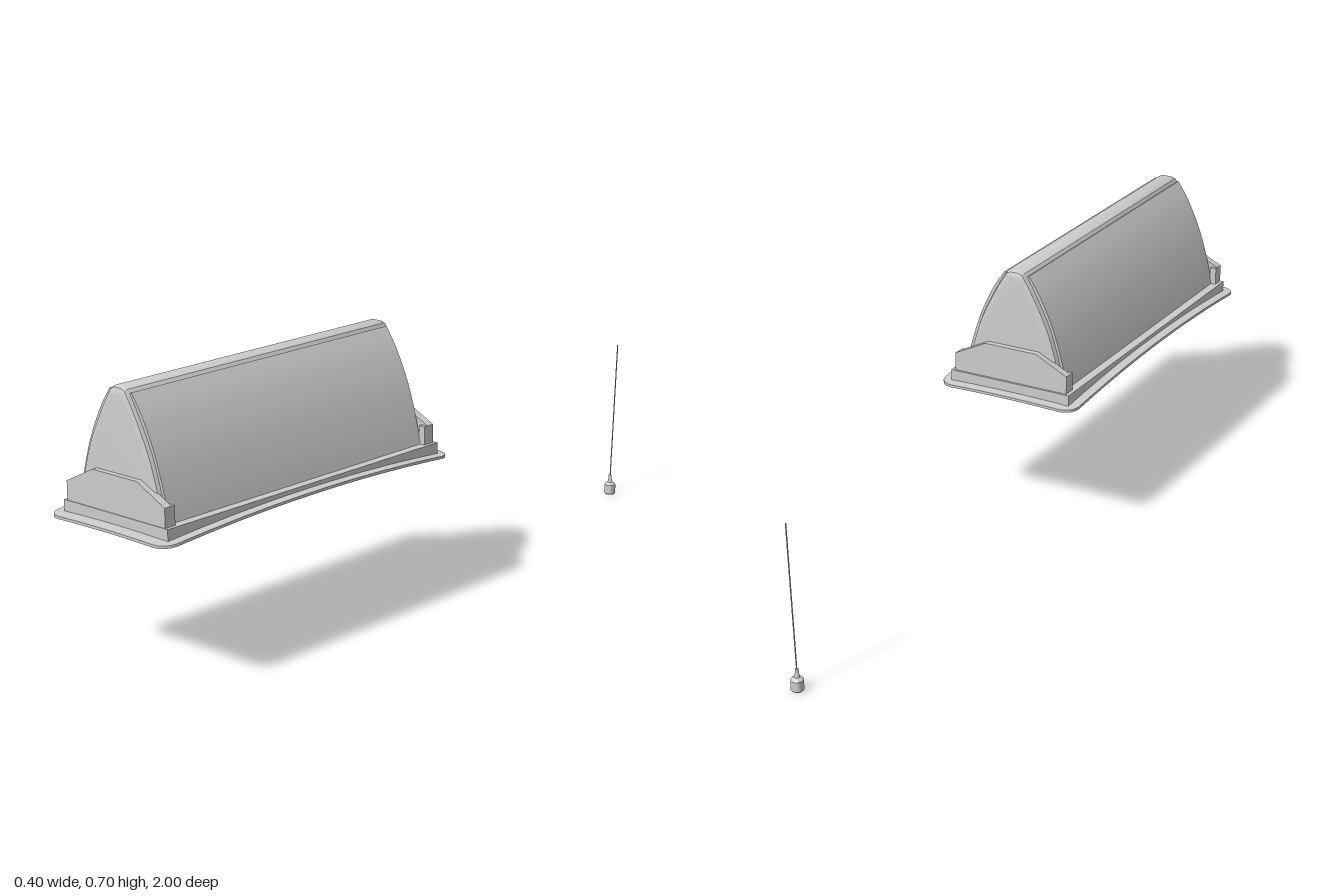
import * as THREE from 'three';
import { toCreasedNormals } from 'three/addons/utils/BufferGeometryUtils.js';

const MID = 0.4975; // centre of the roof sign along z
const HALF = 0.5025;

const v2 = ([x, y]) => new THREE.Vector2(x, y);
const curve = (pts, n) => new THREE.SplineCurve(pts.map(v2)).getPoints(n);
const mirrorPts = (pts) => pts.map((p) => new THREE.Vector2(-p.x, p.y)).reverse();

// Underside height of the arched mat
const matY = (x, z) => 0.391 - 0.021 * ((z - MID) / HALF) ** 2 - 0.004 * (x / 0.2) ** 2;

export function createModel() {
  const group = new THREE.Group();
  const material = new THREE.MeshStandardMaterial({ color: 0xcccccc });

  const add = (name, geometry) => {
    const mesh = new THREE.Mesh(geometry, material);
    mesh.name = name;
    group.add(mesh);
    return mesh;
  };
  const extrude = (points, z0, z1, bevel = 0) => {
    const g = new THREE.ExtrudeGeometry(new THREE.Shape(points), {
      depth: z1 - z0 - 2 * bevel,
      bevelEnabled: bevel > 0,
      bevelSize: bevel,
      bevelThickness: bevel,
      bevelOffset: -bevel,
      bevelSegments: 2,
    });
    g.translate(0, 0, z0 + bevel);
    return toCreasedNormals(g, 0.42);
  };
  const moveVertices = (g, rule) => {
    const p = g.attributes.position;
    const v = new THREE.Vector3();
    for (let i = 0; i < p.count; i++) {
      rule(v.fromBufferAttribute(p, i));
      p.setXYZ(i, v.x, v.y, v.z);
    }
    return toCreasedNormals(g, 0.5);
  };

  // Thin mat with rounded corners, arched along its length
  add('baseMat', moveVertices(new THREE.BoxGeometry(2, 1, 2, 8, 1, 32), (v) => {
    const t = Math.sin((v.z * Math.PI) / 2);
    const into = Math.max(0, 0.04 - HALF * (1 - Math.abs(t)));
    const width = 0.2 - 0.04 + Math.sqrt(Math.max(0, 0.04 ** 2 - into ** 2));
    const top = v.y > 0;
    v.z = MID + t * HALF;
    v.x *= width;
    v.y = matY(v.x, v.z) + (top ? 0.007 : 0);
  }));

  // Plinth with a level top and an underside that follows the mat
  add('plinth', moveVertices(new THREE.BoxGeometry(0.35, 1, 0.945, 4, 1, 24), (v) => {
    v.z += 0.4945;
    v.y = v.y > 0 ? 0.405 : matY(v.x, v.z) + 0.003;
  }));

  // Arched housing with softened ends
  const half = [
    ...curve([[0.145, 0.398], [0.127, 0.475], [0.1, 0.56], [0.06, 0.642], [0.034, 0.686]], 12),
    ...[[0.025, 0.7], [0.012, 0.705]].map(v2),
  ];
  add('housing', extrude([...half, ...mirrorPts(half)], 0.045, 0.95, 0.014));

  // Raised curved panels on both flanks
  const outer = curve([[0.152, 0.4], [0.136, 0.47], [0.108, 0.56], [0.07, 0.642], [0.036, 0.694]], 12);
  const inner = curve([[0.024, 0.688], [0.055, 0.63], [0.095, 0.55], [0.122, 0.47], [0.138, 0.4]], 12);
  const panel = [...outer, ...inner];
  add('leftPanel', extrude(panel, 0.06, 0.937));
  add('rightPanel', extrude(mirrorPts(panel), 0.06, 0.937));

  // End brackets: shaped plate plus a short return at each side
  const plate = [[-0.165, 0.4], [0.165, 0.4], [0.165, 0.453], [0.075, 0.498], [-0.075, 0.498], [-0.165, 0.453]].map(v2);
  for (const [name, z0, z1, tabZ] of [['front', 0.943, 0.965, 0.949], ['back', 0.028, 0.05, 0.046]]) {
    add(name + 'Bracket', extrude(plate, z0, z1));
    for (const s of [-1, 1]) {
      const tab = add(name + (s > 0 ? 'Left' : 'Right') + 'BracketTab', new THREE.BoxGeometry(0.018, 0.053, 0.032));
      tab.position.set(s * 0.156, 0.4265, tabZ);
    }
  }

  // Separate plug with a tapered neck
  const profile = [[0, 0], [0.013, 0], [0.016, 0.003], [0.016, 0.029], [0.012, 0.034],
    [0.007, 0.036], [0.005, 0.045], [0.004, 0.058], [0, 0.06]].map(v2);
  const plug = add('plug', toCreasedNormals(new THREE.LatheGeometry(profile, 24), 0.6));
  plug.position.z = -0.978;

  // Thin cord rising from the plug with a slight lean
  const path = new THREE.CatmullRomCurve3([
    new THREE.Vector3(0, 0.055, -0.978),
    new THREE.Vector3(0, 0.25, -0.988),
    new THREE.Vector3(0, 0.445, -0.998),
  ]);
  add('cord', new THREE.TubeGeometry(path, 12, 0.0016, 8));

  return group;
}
